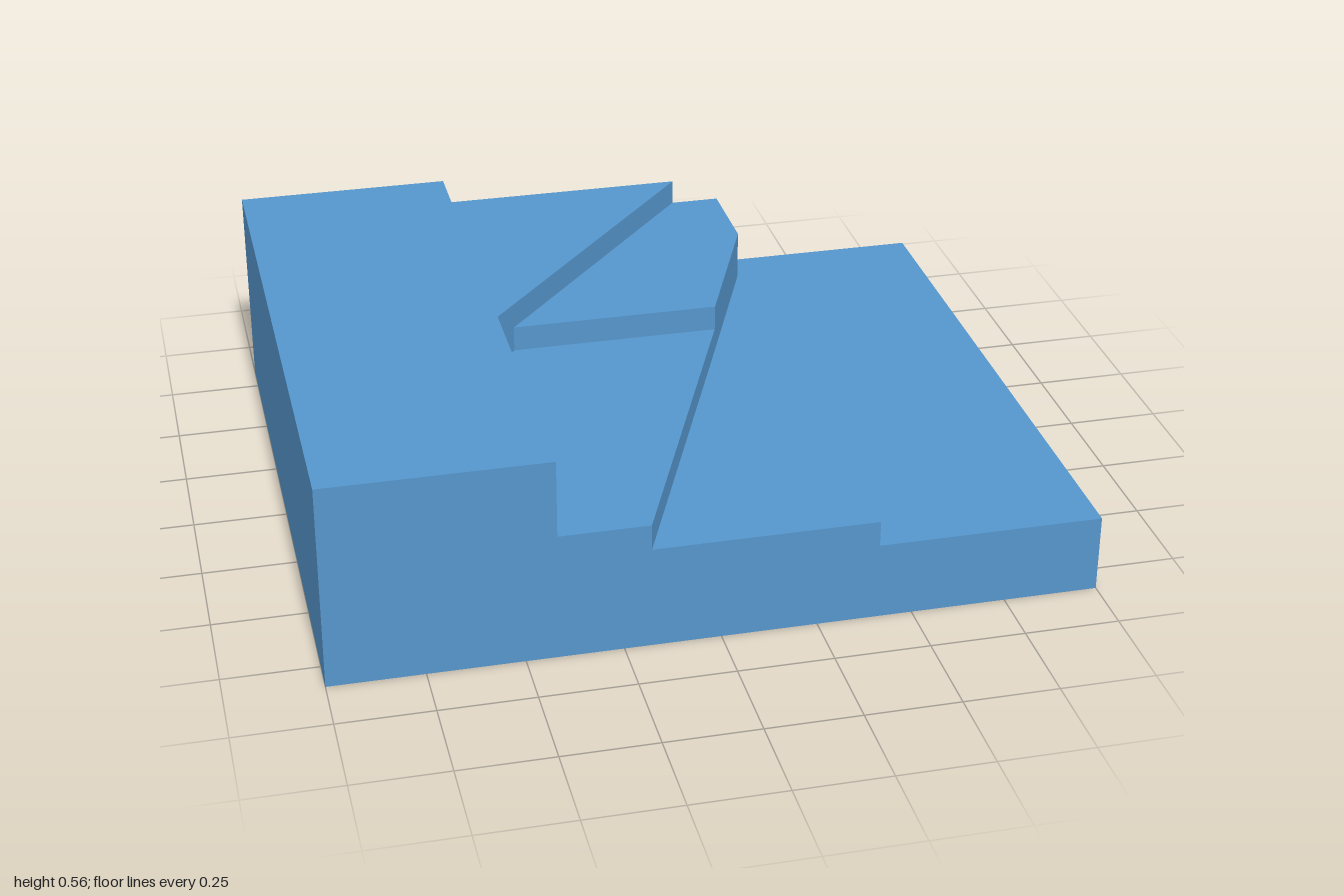
import * as THREE from 'three';

const RISE = 0.07;
const DEPTH = 0.84; // half depth of the block
const WALL = -0.416, EDGE = 0.408; // sides of the winding flight

// Plan outlines as [x, z]; each tread is a solid block down to the ground
const steps = [
  { name: 'lowerLanding', rises: 3, plan: [[EDGE, DEPTH], [1, DEPTH], [1, -DEPTH], [EDGE, -DEPTH]] },
  { name: 'firstWinder', rises: 4, plan: [[-0.18, DEPTH], [EDGE, DEPTH], [EDGE, -0.585]] },
  { name: 'secondWinder', rises: 5, plan: [[WALL, DEPTH], [-0.18, DEPTH], [0.227, -0.143], [-0.34, -0.143], [WALL, -0.055]] },
  { name: 'thirdWinder', rises: 6, plan: [[-0.34, -0.143], [0.227, -0.143], [EDGE, -0.585], [EDGE, -DEPTH], [0.272, -DEPTH]] },
  { name: 'fourthWinder', rises: 7, plan: [[WALL, -0.055], [0.272, -DEPTH], [WALL, -DEPTH]] },
  { name: 'upperLanding', rises: 8, plan: [[-1, DEPTH], [WALL, DEPTH], [WALL, -DEPTH], [-1, -DEPTH]] },
];

export function createModel() {
  const group = new THREE.Group();
  group.name = 'windingSteps';
  const material = new THREE.MeshStandardMaterial({ color: 0x5596cc });

  for (const { name, rises, plan } of steps) {
    const shape = new THREE.Shape(plan.map(([x, z]) => new THREE.Vector2(x, -z)));
    const geometry = new THREE.ExtrudeGeometry(shape, { depth: rises * RISE, bevelEnabled: false });
    geometry.rotateX(-Math.PI / 2); // extrude upwards
    const mesh = new THREE.Mesh(geometry, material);
    mesh.name = name;
    group.add(mesh);
  }
  return group;
}
